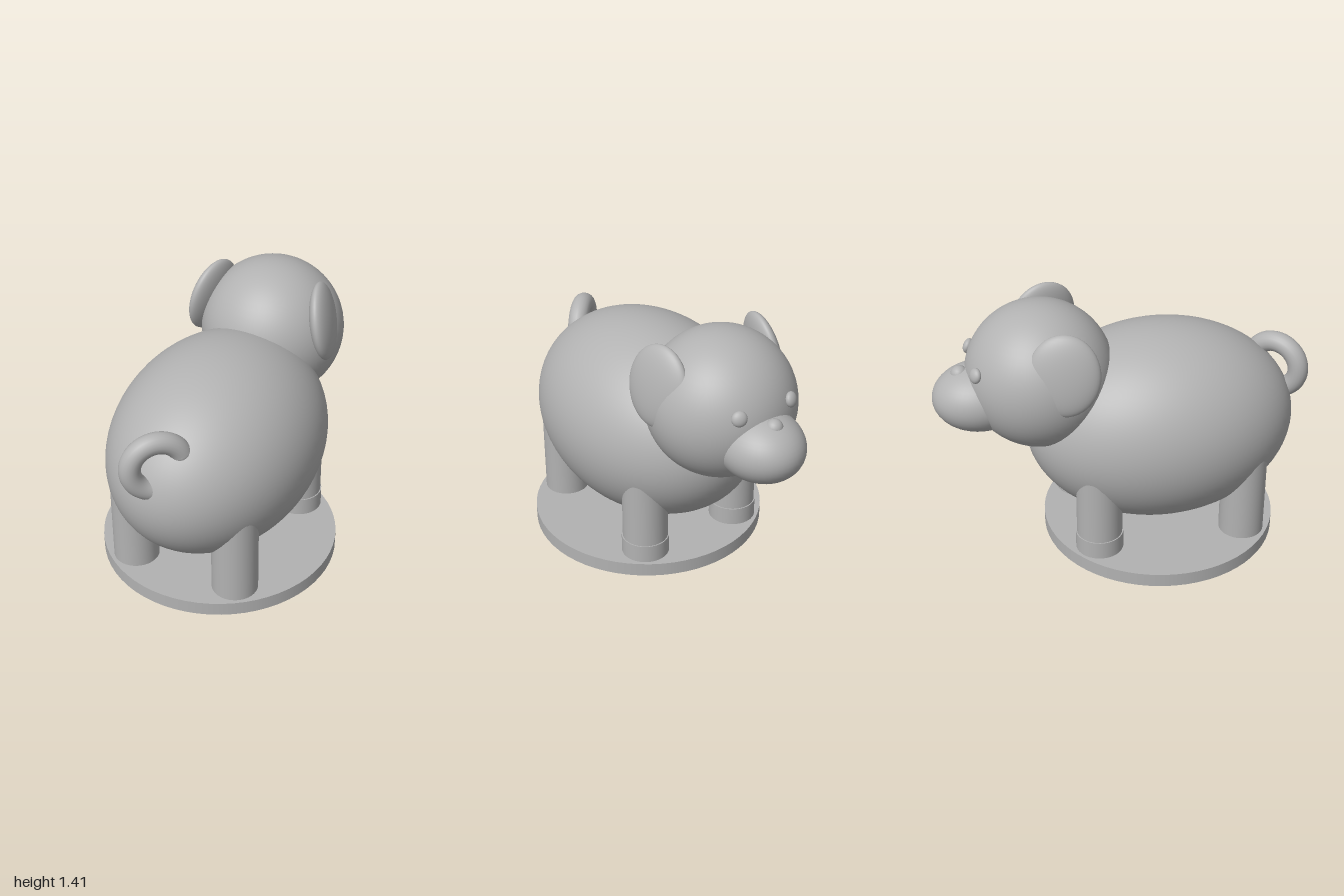
import * as THREE from 'three';

export function createModel() {
  const model = new THREE.Group();
  model.name = 'pigFigurine';
  const grey = new THREE.MeshStandardMaterial({ color: 0xb2b2b2 });
  grey.name = 'plain grey';

  const add = (name, geometry, x, y, z, parent = model) => {
    const mesh = new THREE.Mesh(geometry, grey);
    mesh.name = name;
    mesh.position.set(x, y, z);
    parent.add(mesh);
    return mesh;
  };
  const ellipsoid = (rx, ry, rz, detail = 48) =>
    new THREE.SphereGeometry(1, detail, detail / 2).scale(rx, ry, rz);

  // Round stand
  add('base', new THREE.CylinderGeometry(0.64, 0.64, 0.075, 64), 0, 0.0375, 0.21);

  // Body, head and snout
  add('body', ellipsoid(0.54, 0.54, 0.73, 80), 0, 0.67, 0.21);
  add('head', ellipsoid(0.39, 0.39, 0.39, 64), 0, 1.02, -0.435);
  add('snout', ellipsoid(0.215, 0.18, 0.25), 0, 0.92, -0.75);
  add('nose', ellipsoid(0.045, 0.045, 0.045, 24), 0, 1.06, -0.85);

  for (const side of [1, -1]) {
    const label = side > 0 ? 'left' : 'right';

    // Flattened ears, leaning in at the top and out at the back
    const ear = add(label + 'Ear', ellipsoid(0.06, 0.215, 0.183), side * 0.33, 1.17, -0.36);
    ear.rotation.set(0, side * 0.22, side * 0.19);

    // Eyes set flat against the face
    const eye = add(label + 'Eye', ellipsoid(0.04, 0.04, 0.025, 24), side * 0.16, 1.13, -0.782);
    eye.lookAt(side * 0.32, 1.24, -1.129);

    // Legs run up into the body; the front pair wear slim cuffs
    for (const [end, z] of [['Back', 0.61], ['Front', -0.185]]) {
      add(label + end + 'Leg', new THREE.CylinderGeometry(0.122, 0.122, 0.53, 40), side * 0.296, 0.335, z);
    }
    add(label + 'FrontCuff', new THREE.CylinderGeometry(0.128, 0.128, 0.105, 40), side * 0.296, 0.1225, -0.185);
  }

  // Curled tail: part of a ring with rounded ends, turned across the rump
  const tail = new THREE.Group();
  tail.name = 'tail';
  tail.position.set(0, 0.91, 0.855);
  tail.rotation.y = Math.PI / 4;
  model.add(tail);
  const ring = 0.135, tube = 0.055, start = 0.45, end = 4.48;
  const curl = add('tailCurl', new THREE.TorusGeometry(ring, tube, 20, 48, end - start), 0, 0, 0, tail);
  curl.rotation.z = start;
  for (const a of [start, end]) {
    add('tailTip', ellipsoid(tube, tube, tube, 24), ring * Math.cos(a), ring * Math.sin(a), 0, tail);
  }
  return model;
}
